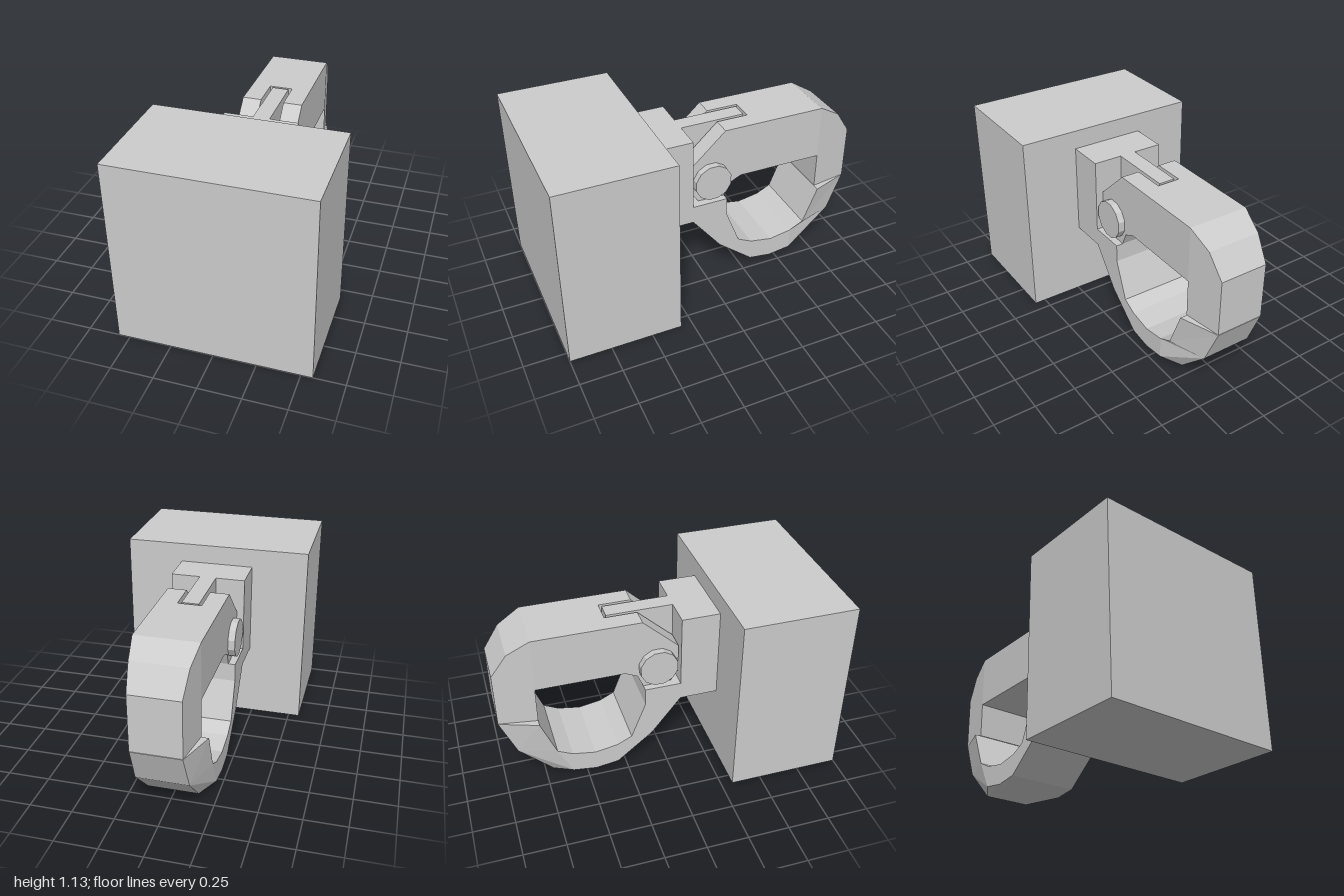
import * as THREE from 'three';

const material = new THREE.MeshStandardMaterial({ color: 0xcccccc, flatShading: true });

function add(group, name, geometry) {
  const mesh = new THREE.Mesh(geometry, material);
  mesh.name = name;
  group.add(mesh);
  return mesh;
}

// Extrude a side profile of [z, y] points across x, from x0 to x1
function sideExtrude(points, x0, x1) {
  const shape = new THREE.Shape(points.map(([z, y]) => new THREE.Vector2(z, y)));
  const geometry = new THREE.ExtrudeGeometry(shape, { depth: x1 - x0, bevelEnabled: false });
  geometry.rotateY(-Math.PI / 2);
  geometry.translate(x1, 0, 0);
  return geometry;
}

// Mirrored loft: each section is a list of [z, y, halfWidth], last section is capped
function mirroredLoft(sections) {
  const rings = sections.map((s) => [
    ...s.map(([z, y, w]) => [w, y, z]),
    ...s.slice().reverse().map(([z, y, w]) => [-w, y, z]),
  ]);
  const pos = [];
  const tri = (...corners) => corners.forEach((c) => pos.push(...c));
  for (let r = 0; r < rings.length - 1; r++) {
    const a = rings[r], b = rings[r + 1];
    for (let i = 0; i < a.length; i++) {
      const j = (i + 1) % a.length;
      tri(a[i], a[j], b[j]);
      tri(a[i], b[j], b[i]);
    }
  }
  const end = rings[rings.length - 1];
  for (let i = 1; i < end.length - 1; i++) tri(end[0], end[i], end[i + 1]);
  const geometry = new THREE.BufferGeometry();
  geometry.setAttribute('position', new THREE.Float32BufferAttribute(pos, 3));
  geometry.computeVertexNormals();
  return geometry;
}

export function createModel() {
  const model = new THREE.Group();
  model.name = 'hingedHook';

  // Mounting block
  add(model, 'mountingBlock', new THREE.BoxGeometry(1.135, 1.135, 0.68)).position.set(0, 0.5675, 0.66);

  // Shank with the fixed lower jaw
  add(model, 'shankAndLowerJaw', sideExtrude([
    [0.32, 1.02], [0.32, 0.46], [0.09, 0.46], [-0.09, 0.23], [-0.31, 0.05], [-0.45, 0.03],
    [-0.45, 0.16], [-0.31, 0.185], [-0.22, 0.23], [-0.13, 0.46], [-0.13, 0.57], [0.09, 0.57], [0.09, 1.02],
  ], -0.225, 0.225));

  // Tapering tip of the lower jaw: inner edge, outer edge, underside edge
  add(model, 'lowerJawTip', mirroredLoft([
    [[-0.45, 0.16, 0.225], [-0.45, 0.03, 0.225], [-0.45, 0.03, 0.225]],
    [[-0.59, 0.185, 0.225], [-0.59, 0.05, 0.225], [-0.705, 0.03, 0.15]],
    [[-0.68, 0.23, 0.225], [-0.905, 0.23, 0.153], [-0.905, 0.23, 0.153]],
    [[-0.77, 0.457, 0.225], [-1, 0.457, 0.145], [-1, 0.457, 0.145]],
  ]));

  // Tongue between the two hinge lobes
  const knuckle = [[-0.13, 0.57], [-0.165, 0.65], [-0.24, 0.685]];
  add(model, 'hingeTongue', sideExtrude([
    [0.09, 1.02], [0.09, 0.57], ...knuckle, [-0.31, 0.685], [-0.31, 1.02],
  ], -0.05, 0.05));

  // Swinging upper jaw, narrowed towards its nose
  const gate = sideExtrude([
    [-0.325, 1.02], [-0.325, 0.685], [-0.77, 0.685], [-0.77, 0.46], [-1, 0.46],
    [-1, 0.8], [-0.905, 0.94], [-0.77, 1.02],
  ], -0.183, 0.183);
  const p = gate.attributes.position;
  for (let i = 0; i < p.count; i++) {
    const t = Math.max(0, (-0.77 - p.getZ(i)) / 0.23);
    p.setX(i, p.getX(i) * (1 - 0.2 * t));
  }
  gate.computeVertexNormals();
  add(model, 'upperJaw', gate);

  // Hinge lobes either side of the tongue
  const lobe = [[-0.13, 1.02], [0.085, 0.82], [0.085, 0.64], [0.04, 0.575], ...knuckle, [-0.325, 0.685], [-0.325, 1.02]];
  add(model, 'leftHingeLobe', sideExtrude(lobe, 0.07, 0.183));
  add(model, 'rightHingeLobe', sideExtrude(lobe, -0.183, -0.07));

  // Hinge pin
  const pin = new THREE.CylinderGeometry(0.116, 0.116, 0.45, 12);
  pin.rotateY(Math.PI / 12);
  pin.rotateZ(Math.PI / 2);
  add(model, 'hingePin', pin).position.set(0, 0.707, -0.042);

  return model;
}
